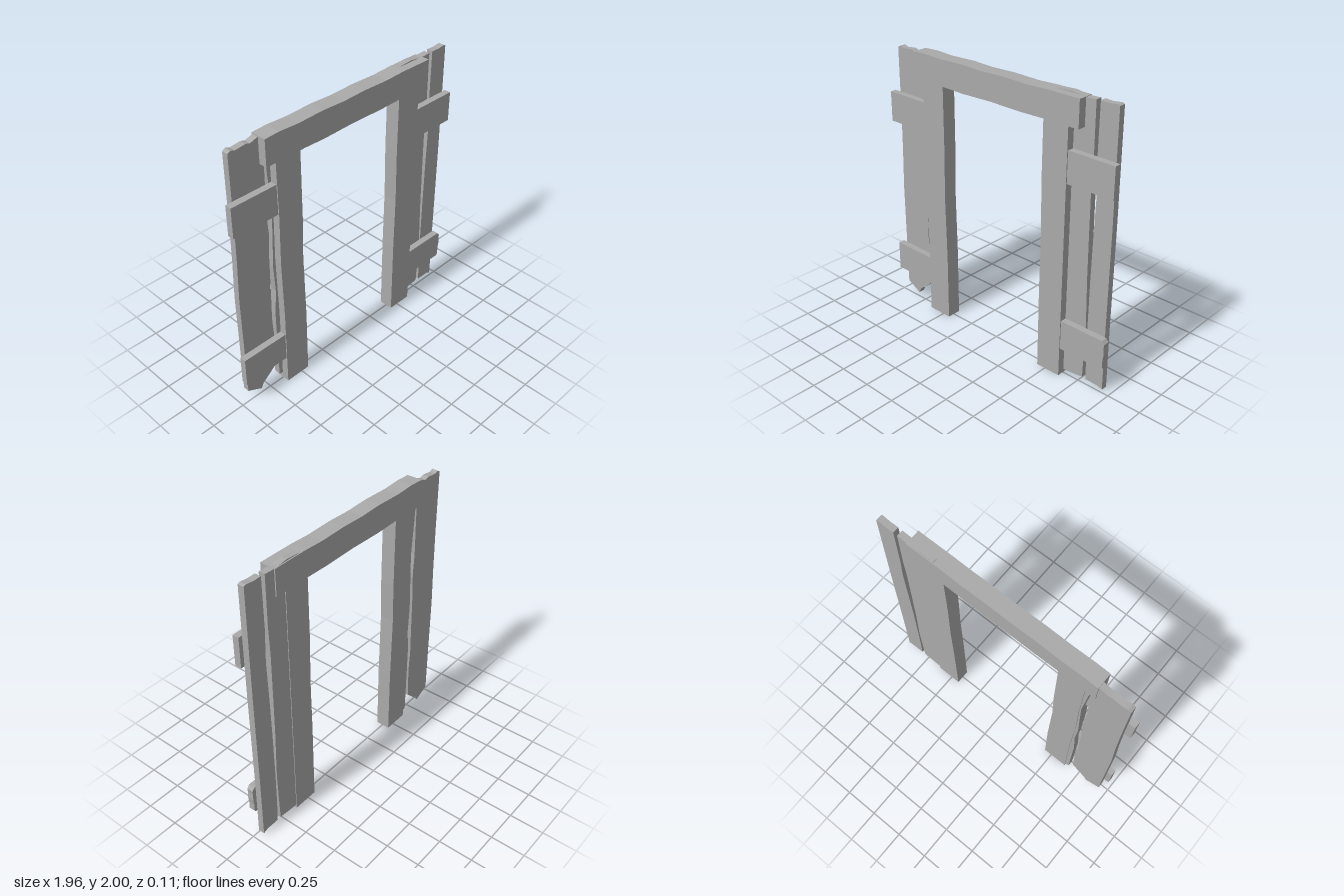
import * as THREE from 'three';

const wood = new THREE.MeshStandardMaterial({ color: 0xaaaaaa, flatShading: true });
wood.name = 'plainWood';

// Extrudes a hand-cut outline between two depths
function board(name, points, z0, z1) {
  const shape = new THREE.Shape(points.map(([x, y]) => new THREE.Vector2(x, y)));
  const geo = new THREE.ExtrudeGeometry(shape, { depth: z1 - z0, bevelEnabled: false });
  geo.translate(0, 0, z0);
  const mesh = new THREE.Mesh(geo, wood);
  mesh.name = name;
  return mesh;
}

export function createModel() {
  const model = new THREE.Group();
  model.name = 'plankDoorway';
  const add = (...args) => model.add(board(...args));

  // Thick uprights with slightly uneven inner edges
  add('rightPost', [[-0.63, 0], [-0.44, 0], [-0.438, 0.5], [-0.443, 0.75], [-0.448, 1], [-0.44, 1.3],
    [-0.44, 1.85], [-0.635, 1.85], [-0.63, 1.4], [-0.637, 1.05], [-0.628, 0.6]], -0.055, 0.05);
  add('leftPost', [[0.433, 0], [0.62, 0], [0.622, 0.6], [0.625, 1.85], [0.433, 1.85],
    [0.43, 1.4], [0.437, 1], [0.432, 0.6]], -0.055, 0.05);

  // Lintel across the top
  add('lintel', [[-0.71, 1.802], [-0.4, 1.803], [-0.25, 1.798], [0, 1.804], [0.25, 1.799], [0.45, 1.803],
    [0.705, 1.802], [0.705, 1.99], [0.45, 1.992], [0.3, 1.986], [0.1, 1.992], [-0.08, 1.987],
    [-0.25, 1.994], [-0.45, 1.988], [-0.6, 1.995], [-0.71, 1.99]], -0.058, 0.055);

  // Rear vertical planks, ragged at the ends
  add('rightWidePlank', [[-0.94, 0.09], [-0.88, 0.06], [-0.825, 0.03], [-0.805, 0.07], [-0.74, 0.12],
    [-0.695, 0.16], [-0.69, 0.22], [-0.685, 0.42], [-0.695, 0.58], [-0.69, 0.8], [-0.685, 1.1],
    [-0.675, 1.28], [-0.685, 1.43], [-0.68, 1.7], [-0.68, 1.99], [-0.72, 1.98], [-0.77, 1.965],
    [-0.8, 1.975], [-0.88, 1.967], [-0.91, 1.978], [-0.932, 1.965], [-0.932, 1.5], [-0.936, 1.2],
    [-0.945, 0.9], [-0.942, 0.5]], -0.05, -0.004);
  add('rightNarrowPlank', [[-0.66, 0.05], [-0.6, 0.04], [-0.5, 0.05], [-0.5, 1.97], [-0.665, 1.97],
    [-0.665, 1.78], [-0.652, 1.6], [-0.64, 1.45], [-0.648, 1.25], [-0.658, 1.0], [-0.648, 0.8],
    [-0.663, 0.6], [-0.662, 0.4]], -0.05, -0.004);
  add('leftWidePlank', [[0.5, 0.03], [0.62, 0.025], [0.7, 0.03], [0.78, 0.04], [0.785, 0.21],
    [0.79, 0.45], [0.78, 0.8], [0.777, 1.1], [0.775, 1.43], [0.782, 1.65], [0.78, 1.99],
    [0.7, 1.987], [0.6, 2.0], [0.5, 1.995]], -0.05, -0.004);
  add('leftNarrowPlank', [[0.81, 0.035], [0.91, 0.035], [0.947, 0.02], [0.945, 0.5], [0.948, 1.2],
    [0.945, 1.99], [0.93, 1.997], [0.87, 1.99], [0.81, 1.992], [0.808, 1.64], [0.818, 1.4],
    [0.81, 1.1], [0.805, 0.8], [0.803, 0.45], [0.805, 0.2]], -0.05, -0.004);

  // Front rails, level on both sides; the lower left one has a chipped end
  add('rightUpperRail', [[-0.98, 1.425], [-0.56, 1.425], [-0.56, 1.642], [-0.98, 1.645]], -0.004, 0.043);
  add('rightLowerRail', [[-0.98, 0.215], [-0.56, 0.215], [-0.56, 0.43], [-0.98, 0.433]], -0.004, 0.043);
  add('leftUpperRail', [[0.56, 1.425], [0.975, 1.425], [0.975, 1.645], [0.56, 1.645]], -0.004, 0.043);
  add('leftLowerRail', [[0.56, 0.215], [0.955, 0.215], [0.97, 0.228], [0.968, 0.28], [0.975, 0.33],
    [0.972, 0.38], [0.975, 0.41], [0.955, 0.433], [0.56, 0.433]], -0.004, 0.043);

  return model;
}
